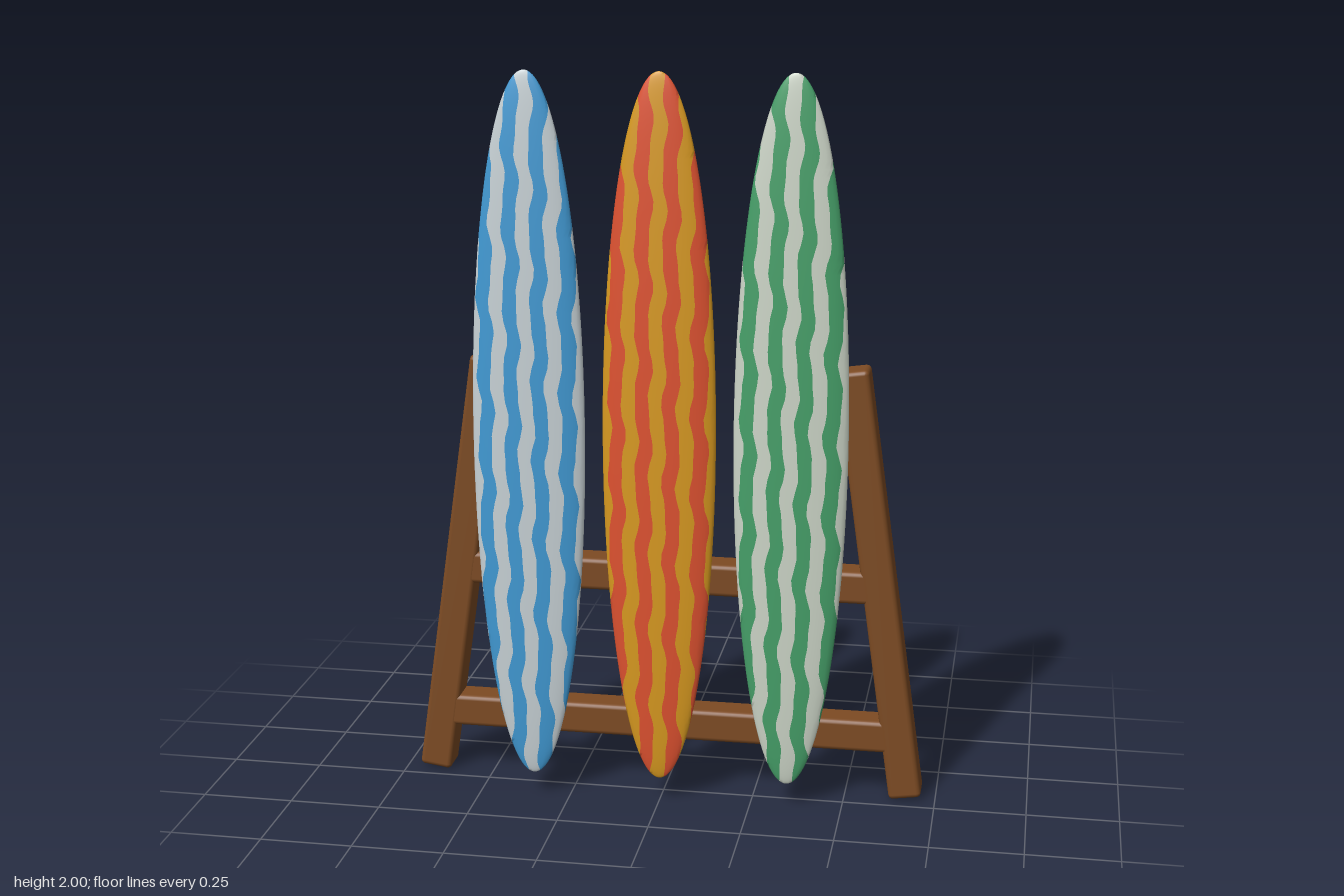
import * as THREE from 'three';
import { RoundedBoxGeometry } from 'three/addons/geometries/RoundedBoxGeometry.js';

const mat = (name, color) => {
  const m = new THREE.MeshStandardMaterial({ color });
  m.name = name;
  return m;
};

// board half sizes and stripe width
const HALF_W = 0.152, HALF_L = 0.965, HALF_T = 0.033, STRIPE = 0.037;
const ROWS = 96, STEPS = 3;

// One wavy lengthwise stripe of a flattened ellipsoid, on both faces
function addStripe(j, wave, pos, nor, idx) {
  for (const side of [1, -1]) {
    const base = pos.length / 3;
    for (let i = 0; i <= ROWS; i++) {
      const t = (i / ROWS) * Math.PI;
      const r = Math.sin(t), y = -Math.cos(t);
      const w = Math.max(HALF_W * r, 1e-6);
      const angle = (k) => Math.asin(THREE.MathUtils.clamp((k * STRIPE + wave(y * HALF_L, k)) / w, -1, 1));
      const a0 = angle(j - 0.5), a1 = angle(j + 0.5);
      for (let s = 0; s <= STEPS; s++) {
        const a = a0 + (a1 - a0) * s / STEPS;
        const ux = r * Math.sin(a), uz = side * r * Math.cos(a);
        pos.push(ux * HALF_W, y * HALF_L, uz * HALF_T);
        const n = new THREE.Vector3(ux / HALF_W, y / HALF_L, uz / HALF_T).normalize();
        nor.push(n.x, n.y, n.z);
      }
    }
    const n = STEPS + 1;
    for (let i = 0; i < ROWS; i++) {
      for (let s = 0; s < STEPS; s++) {
        const a = base + i * n + s, b = a + 1, c = b + n, d = a + n;
        if (side > 0) idx.push(a, b, c, a, c, d);
        else idx.push(a, c, b, a, d, c);
      }
    }
  }
}

// Board: even stripes in the base colour, odd ones in the stripe colour
function makeBoard(name, baseMat, stripeMat, phase) {
  const board = new THREE.Group();
  board.name = name;
  const wave = (y, k) =>
    0.006 * Math.sin(y * 30 + phase + k * 0.25) + 0.003 * Math.sin(y * 57 + phase * 2 + k * 1.3);
  [[baseMat, 0, 'baseStripes'], [stripeMat, 1, 'colourStripes']].forEach(([material, parity, label]) => {
    const pos = [], nor = [], idx = [];
    for (let j = -5; j <= 5; j++) {
      if (Math.abs(j) % 2 === parity) addStripe(j, wave, pos, nor, idx);
    }
    const geo = new THREE.BufferGeometry();
    geo.setAttribute('position', new THREE.Float32BufferAttribute(pos, 3));
    geo.setAttribute('normal', new THREE.Float32BufferAttribute(nor, 3));
    geo.setIndex(idx);
    const mesh = new THREE.Mesh(geo, material);
    mesh.name = label;
    board.add(mesh);
  });
  return board;
}

export function createModel() {
  const model = new THREE.Group();
  model.name = 'surfboardRack';

  const wood = mat('wood', 0x7d4b23);

  // rack: two leaning legs and two cross rails
  const rack = new THREE.Group();
  rack.name = 'rack';
  const beam = (name, w, h, d, x, y, tilt = 0) => {
    const mesh = new THREE.Mesh(new RoundedBoxGeometry(w, h, d, 2, 0.013), wood);
    mesh.name = name;
    mesh.position.set(x, y, -0.083);
    mesh.rotation.z = tilt;
    rack.add(mesh);
  };
  beam('leftLeg', 0.09, 1.215, 0.092, 0.582, 0.609, 0.142);
  beam('rightLeg', 0.09, 1.215, 0.092, -0.582, 0.609, -0.142);
  beam('lowerRail', 1.25, 0.09, 0.09, 0, 0.183);
  beam('upperRail', 1.13, 0.09, 0.09, 0, 0.61);
  model.add(rack);

  // boards, each a little further back than the last
  const boards = [
    ['blueBoard', mat('coolWhite', 0xc8d2d6), mat('blue', 0x419ad4), -0.348, 0.09, 0.4],
    ['orangeBoard', mat('amber', 0xd99a20), mat('red', 0xdf5230), 0, 0.072, 1.9],
    ['greenBoard', mat('warmWhite', 0xcdd6c8), mat('green', 0x46a069), 0.348, 0.054, 3.3],
  ];
  for (const [name, base, stripe, x, z, phase] of boards) {
    const board = makeBoard(name, base, stripe, phase);
    board.position.set(x, 1.035, z);
    model.add(board);
  }
  return model;
}
